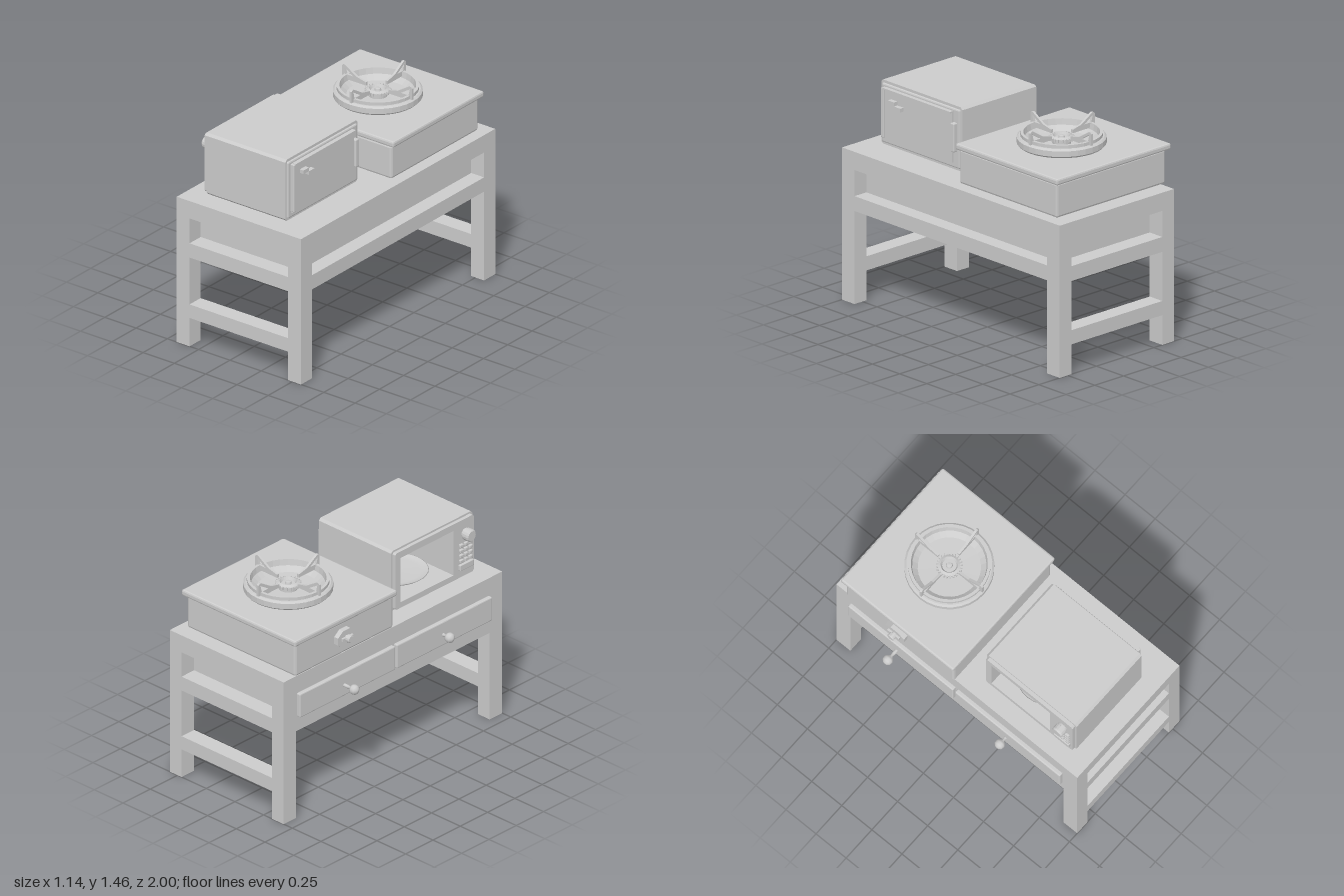
import * as THREE from 'three';
import { RoundedBoxGeometry } from 'three/addons/geometries/RoundedBoxGeometry.js';

const flat = new THREE.MeshStandardMaterial({ color: 0xcccccc, flatShading: true });
const smooth = new THREE.MeshStandardMaterial({ color: 0xcccccc, side: THREE.DoubleSide });

function add(parent, name, geometry, material = flat) {
  const mesh = new THREE.Mesh(geometry, material);
  mesh.name = name;
  parent.add(mesh);
  return mesh;
}

// Box given by its limits, with an optional chamfer
function box(parent, name, [x0, x1], [y0, y1], [z0, z1], chamfer = 0) {
  const size = [x1 - x0, y1 - y0, z1 - z0];
  const g = chamfer ? new RoundedBoxGeometry(...size, 1, chamfer) : new THREE.BoxGeometry(...size);
  return add(parent, name, g.translate((x0 + x1) / 2, (y0 + y1) / 2, (z0 + z1) / 2));
}

function rectPoints([a0, a1], [b0, b1], c = 0) {
  const p = c
    ? [[a0 + c, b0], [a1 - c, b0], [a1, b0 + c], [a1, b1 - c], [a1 - c, b1], [a0 + c, b1], [a0, b1 - c], [a0, b0 + c]]
    : [[a0, b0], [a1, b0], [a1, b1], [a0, b1]];
  return p.map(([a, b]) => new THREE.Vector2(a, b));
}

// Rectangular frame in the z-y plane, extruded along x
function frameX(parent, name, [x0, x1], outer, hole, chamfer) {
  const shape = new THREE.Shape(rectPoints(...outer, chamfer));
  shape.holes.push(new THREE.Path(rectPoints(...hole)));
  const g = new THREE.ExtrudeGeometry(shape, { depth: x1 - x0, bevelEnabled: false });
  return add(parent, name, g.rotateY(-Math.PI / 2).translate(x1, 0, 0));
}

// Lathe whose axis points along -x; profile is [radius, distance]
function latheX(parent, name, profile, x, y, z, segments = 16, material = smooth) {
  const g = new THREE.LatheGeometry(profile.map(p => new THREE.Vector2(...p)), segments);
  return add(parent, name, g.rotateZ(Math.PI / 2).translate(x, y, z), material);
}

function createTable() {
  const t = new THREE.Group();
  t.name = 'table';
  const X = [-0.425, 0.568], inner = [-0.323, 0.465];
  box(t, 'tableTop', X, [0.9, 1.022], [-1, 1]);
  box(t, 'recessedCase', inner, [0.725, 0.9], [-0.885, 0.885]);
  for (const s of [-1, 1]) {
    const zs = [s * 0.885, s].sort((a, b) => a - b);
    for (const xs of [[X[0], inner[0]], [inner[1], X[1]]]) box(t, 'leg', xs, [0, 0.9], zs);
    box(t, 'endRail', inner, [0.625, 0.725], zs);
    box(t, 'lowerStretcher', inner, [0.2, 0.295], zs);
  }
  box(t, 'sideRail', [inner[1], X[1]], [0.625, 0.725], [-0.885, 0.885]);
  box(t, 'drawerRail', [X[0], inner[0]], [0.625, 0.725], [-0.885, 0.885]);
  box(t, 'drawerBacking', [X[0], inner[0]], [0.725, 0.9], [-0.885, 0.885]);

  // Two drawers with turned knobs
  const knob = [[0.012, 0], [0.009, 0.025], [0.028, 0.04], [0.034, 0.055], [0.03, 0.075], [0.016, 0.087], [0, 0.09]];
  for (const [z0, z1, zk, out] of [[-0.88, -0.008, -0.475, 0.03], [0.008, 0.88, 0.43, 0]]) {
    box(t, 'drawerFront', [-0.455, -0.42], [0.728, 0.898], [z0, z1], 0.008);
    latheX(t, 'drawerKnob', [[0.012, -out], ...knob], -0.452 - out, 0.805, zk);
  }
  return t;
}

function createStove() {
  const s = new THREE.Group();
  s.name = 'stove';
  box(s, 'stoveBody', [-0.44, 0.505], [1.03, 1.262], [-0.908, -0.012], 0.015);
  box(s, 'stoveBase', [-0.41, 0.475], [1.02, 1.035], [-0.88, -0.04]);
  box(s, 'stoveTop', [-0.463, 0.53], [1.26, 1.303], [-0.935, 0], 0.012);

  const burner = new THREE.Group();
  burner.name = 'burner';
  burner.position.set(0.045, 0, -0.465);
  s.add(burner);
  const lathe = (name, pts, n) =>
    add(burner, name, new THREE.LatheGeometry(pts.map(p => new THREE.Vector2(...p)), n),
      new THREE.MeshStandardMaterial({ color: 0xcccccc, flatShading: true, side: THREE.DoubleSide }));
  lathe('burnerRing', [[0.27, 1.3], [0.285, 1.315], [0.285, 1.352], [0.272, 1.363], [0.262, 1.363],
    [0.262, 1.385], [0.243, 1.385], [0.235, 1.345], [0.2, 1.315], [0, 1.308]], 32);
  lathe('burnerHead', [[0.06, 1.305], [0.06, 1.33], [0.075, 1.335], [0.075, 1.352], [0.055, 1.362],
    [0.045, 1.345], [0.022, 1.345], [0.018, 1.36], [0, 1.363]], 24);
  for (let i = 0; i < 24; i++) {
    const tooth = add(burner, 'burnerTooth', new THREE.BoxGeometry(0.02, 0.02, 0.01).translate(0.075, 1.345, 0));
    tooth.rotation.y = i * Math.PI / 12;
  }

  // Four pan supports: open triangular plates
  const arm = new THREE.Shape([[0.09, 1.352], [0.24, 1.352], [0.28, 1.363], [0.28, 1.44], [0.27, 1.45],
    [0.258, 1.45], [0.165, 1.392], [0.09, 1.375]].map(p => new THREE.Vector2(...p)));
  arm.holes.push(new THREE.Path([[0.19, 1.386], [0.25, 1.386], [0.262, 1.432]].map(p => new THREE.Vector2(...p))));
  for (let i = 0; i < 4; i++) {
    const g = new THREE.ExtrudeGeometry(arm, { depth: 0.016, bevelEnabled: false }).translate(0, 0, -0.008);
    add(burner, 'panSupport', g).rotation.y = i * Math.PI / 2;
  }

  // Control dial on an octagonal plate
  const plate = new THREE.CylinderGeometry(0.065, 0.065, 0.04, 8).rotateY(Math.PI / 8).rotateZ(Math.PI / 2).scale(1, 1, 1.3);
  add(s, 'dialPlate', plate.translate(-0.455, 1.153, -0.476));
  latheX(s, 'dial', [[0.018, 0], [0.018, 0.012], [0.027, 0.014], [0.027, 0.036], [0.022, 0.042], [0, 0.042]],
    -0.474, 1.157, -0.476, 12, flat);
  box(s, 'dialGrip', [-0.49, -0.47], [1.147, 1.167], [-0.525, -0.427]);
  return s;
}

function createMicrowave() {
  const m = new THREE.Group();
  m.name = 'microwave';
  const opening = [[0.19, 0.675], [1.08, 1.4]];
  frameX(m, 'casing', [-0.285, 0.345], [[0.13, 0.875], [1.03, 1.46]], opening, 0.016);
  frameX(m, 'frontFrame', [-0.31, -0.285], [[0.143, 0.862], [1.04, 1.447]], opening, 0.012);
  box(m, 'cavityBack', [0.25, 0.357], [1.045, 1.442], [0.145, 0.86], 0.01);
  for (const x of [-0.22, 0.28]) for (const z of [0.2, 0.8]) {
    box(m, 'foot', [x - 0.025, x + 0.025], [1.02, 1.035], [z - 0.025, z + 0.025]);
  }

  // Turntable inside the open cavity
  const table = [[0, 1.092], [0.15, 1.092], [0.165, 1.098], [0.2, 1.104], [0.215, 1.115], [0.21, 1.117], [0.195, 1.11], [0.16, 1.104], [0, 1.1]];
  add(m, 'turntable', new THREE.LatheGeometry(table.map(p => new THREE.Vector2(...p)), 32).translate(-0.03, 0, 0.432), smooth);
  add(m, 'turntableHub', new THREE.CylinderGeometry(0.03, 0.03, 0.015, 12).translate(-0.03, 1.087, 0.432));

  // Control panel: dial, keypad and door button
  latheX(m, 'controlDial', [[0.036, 0], [0.036, 0.012], [0.042, 0.014], [0.042, 0.05], [0.034, 0.06], [0, 0.06]],
    -0.31, 1.343, 0.782, 16, flat);
  for (let r = 0; r < 4; r++) for (let c = 0; c < 3; c++) {
    const y = 1.27 - r * 0.037, z = 0.74 + c * 0.042;
    box(m, 'key', [-0.325, -0.305], [y - 0.012, y + 0.012], [z - 0.015, z + 0.015], 0.005);
  }
  box(m, 'doorButton', [-0.328, -0.305], [1.095, 1.137], [0.72, 0.845], 0.005);

  // Rear cover with side strips and small vents
  box(m, 'rearCover', [0.35, 0.37], [1.08, 1.422], [0.2, 0.83]);
  box(m, 'rearStrip', [0.35, 0.386], [1.09, 1.422], [0.812, 0.836], 0.004);
  box(m, 'rearHandle', [0.35, 0.386], [1.16, 1.352], [0.165, 0.2], 0.006);
  box(m, 'rearLip', [0.35, 0.386], [1.414, 1.424], [0.2, 0.82]);
  box(m, 'rearTab', [0.365, 0.4], [1.335, 1.36], [0.7, 0.757]);
  box(m, 'rearTab', [0.365, 0.4], [1.307, 1.333], [0.643, 0.7]);
  return m;
}

export function createModel() {
  const model = new THREE.Group();
  model.name = 'kitchenTable';
  model.add(createTable(), createStove(), createMicrowave());
  model.position.x = 0;
  return model;
}
